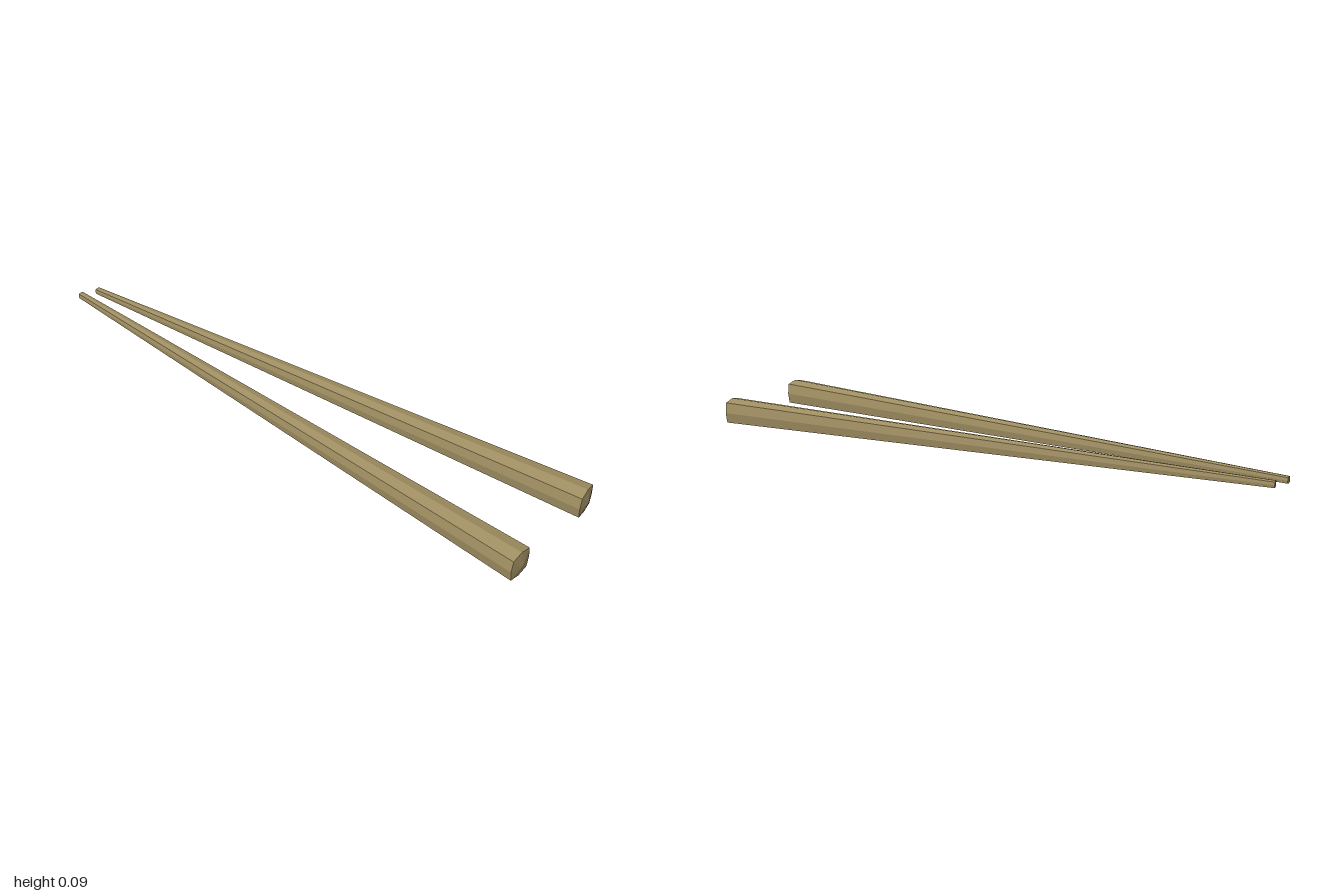
import * as THREE from 'three';

// Tapered eight-sided stick from a flat tip to a slightly peaked butt end
function stickGeometry(length) {
  const profile = [[0, 0], [0.25, 0], [1, length - 0.01], [0, length]]
    .map(([r, y]) => new THREE.Vector2(r, y));
  const geometry = new THREE.LatheGeometry(profile, 8);
  const pos = geometry.attributes.position;
  // Push the four diagonal corners out so the section is a softened square
  for (let i = 0; i < pos.count; i++) {
    const x = pos.getX(i), z = pos.getZ(i);
    const corner = Math.abs(x * z) > 1e-6;
    pos.setX(i, x * 0.0464 * (corner ? 1.14 : 1));
    pos.setZ(i, z * 0.0437 * (corner ? 1.23 : 1));
  }
  geometry.rotateZ(-Math.PI / 2); // lie along +x
  geometry.computeVertexNormals();
  return geometry;
}

export function createModel() {
  const group = new THREE.Group();
  const wood = new THREE.MeshStandardMaterial({ color: 0xa08f62, flatShading: true });

  // Each stick runs from its tip [x, z] to its butt end [x, z]
  const sticks = [
    ['frontChopstick', [-1, 0.172], [1, 0.173]],
    ['rearChopstick', [-0.98, 0.11], [0.995, -0.173]],
  ];
  for (const [name, tip, butt] of sticks) {
    const dx = butt[0] - tip[0], dz = butt[1] - tip[1];
    const stick = new THREE.Mesh(stickGeometry(Math.hypot(dx, dz)), wood);
    stick.name = name;
    stick.position.set(tip[0], 0.0464, tip[1]);
    stick.rotation.y = Math.atan2(-dz, dx);
    group.add(stick);
  }
  return group;
}
